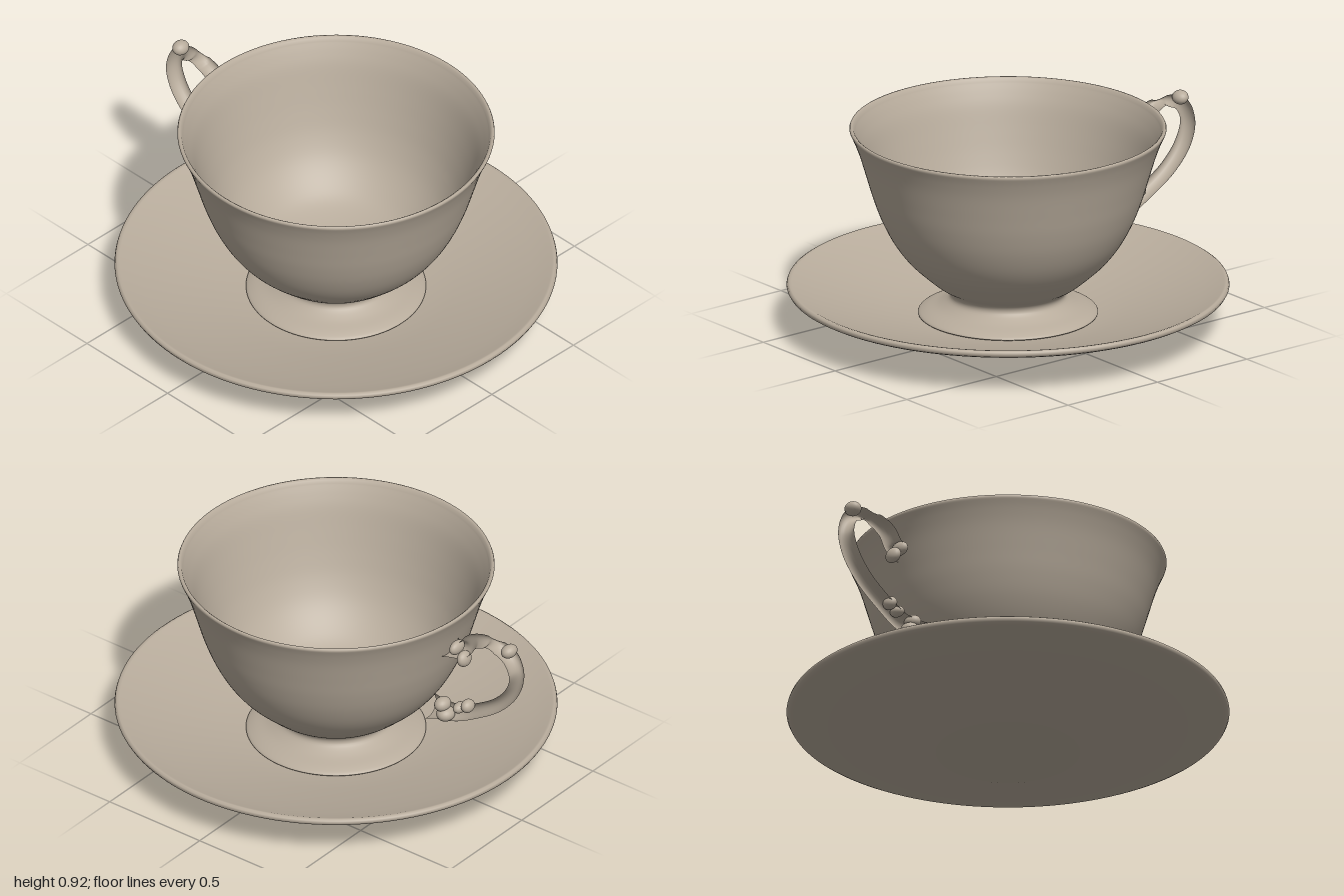
import * as THREE from 'three';

const porcelain = new THREE.MeshStandardMaterial({ color: 0xb8ac9c });
porcelain.name = 'warm porcelain';

const v2 = (pts) => pts.map(([x, y]) => new THREE.Vector2(x, y));
const smooth = (pts, n) => new THREE.SplineCurve(v2(pts)).getPoints(n);

function addMesh(parent, name, geometry) {
  const mesh = new THREE.Mesh(geometry, porcelain);
  mesh.name = name;
  parent.add(mesh);
  return mesh;
}

// Planar sweep in the yz plane; stations are [z, y, half thickness, half width in x].
function sweep(stations, steps = 120, sides = 20) {
  const path = new THREE.CatmullRomCurve3(stations.map(([z, y]) => new THREE.Vector3(0, y, z)));
  const size = new THREE.CatmullRomCurve3(stations.map(([, , t, w]) => new THREE.Vector3(w, t, 0)));
  const pos = [], index = [];
  for (let i = 0; i <= steps; i++) {
    const p = path.getPoint(i / steps), t = path.getTangent(i / steps), s = size.getPoint(i / steps);
    for (let j = 0; j < sides; j++) {
      const a = (j / sides) * Math.PI * 2;
      const n = Math.sin(a) * s.y;
      pos.push(Math.cos(a) * s.x, p.y - t.z * n, p.z + t.y * n);
      if (i < steps) {
        const k = (j + 1) % sides, b = i * sides, c = b + sides;
        index.push(b + j, b + k, c + j, b + k, c + k, c + j);
      }
    }
  }
  const g = new THREE.BufferGeometry();
  g.setAttribute('position', new THREE.Float32BufferAttribute(pos, 3));
  g.setIndex(index);
  g.computeVertexNormals();
  return g;
}

export function createModel() {
  const model = new THREE.Group();
  model.name = 'teacupAndSaucer';

  // Round parts share an axis slightly forward of centre, balancing the handle
  const round = new THREE.Group();
  round.name = 'roundParts';
  round.position.z = 0.033;
  model.add(round);

  // Saucer: flat base, shallow flare, rounded rim, dished top
  const saucer = v2([
    [0, 0], [0.312, 0], [0.32, 0.001], [0.33, 0.004], [0.52, 0.052], [0.72, 0.105], [0.87, 0.15],
    [0.945, 0.175], [0.96, 0.183], [0.966, 0.194], [0.963, 0.204], [0.954, 0.21], [0.943, 0.208],
    [0.925, 0.2], [0.85, 0.175], [0.7, 0.131], [0.52, 0.086], [0.4, 0.062], [0.3, 0.05], [0, 0.048],
  ]);
  addMesh(round, 'saucer', new THREE.LatheGeometry(saucer, 128));

  // Cup: flared foot, narrow neck, bowl outside, thin rim, bowl inside
  const outside = smooth([
    [0.33, 0.058], [0.385, 0.064], [0.39, 0.075], [0.36, 0.09], [0.3, 0.11], [0.255, 0.14], [0.26, 0.175],
    [0.315, 0.212], [0.37, 0.258], [0.44, 0.325], [0.5, 0.405], [0.55, 0.5], [0.588, 0.6],
    [0.618, 0.7], [0.648, 0.8], [0.672, 0.865], [0.69, 0.905],
  ], 80);
  const rim = v2([[0.692, 0.912], [0.689, 0.919], [0.682, 0.92], [0.674, 0.914]]);
  const inside = smooth([
    [0.668, 0.9], [0.648, 0.86], [0.623, 0.8], [0.592, 0.7], [0.56, 0.6], [0.522, 0.5],
    [0.47, 0.405], [0.4, 0.325], [0.32, 0.268], [0.2, 0.23], [0.1, 0.22], [0, 0.218],
  ], 50);
  addMesh(round, 'cup', new THREE.LatheGeometry([...v2([[0, 0.056]]), ...outside, ...rim, ...inside], 128));

  // Handle loop from upper root to lower root
  const handle = new THREE.Group();
  handle.name = 'handle';
  model.add(handle);
  addMesh(handle, 'handleLoop', sweep([
    [-0.588, 0.745, 0.05, 0.065], [-0.625, 0.742, 0.037, 0.052], [-0.675, 0.757, 0.036, 0.045],
    [-0.718, 0.812, 0.034, 0.042], [-0.79, 0.843, 0.027, 0.041], [-0.875, 0.845, 0.027, 0.041],
    [-0.94, 0.815, 0.031, 0.042], [-0.972, 0.735, 0.026, 0.042], [-0.945, 0.64, 0.03, 0.042],
    [-0.865, 0.545, 0.031, 0.041], [-0.75, 0.468, 0.032, 0.041], [-0.635, 0.412, 0.036, 0.044],
    [-0.545, 0.398, 0.045, 0.052], [-0.468, 0.385, 0.06, 0.068],
  ]));

  // Scroll knobs along the loop: name, z, y, radii in x, y, z, tilt
  [
    ['upperCurl', -0.68, 0.712, 0.04, 0.036, 0.026, 0.2],
    ['upperRootBead', -0.64, 0.755, 0.045, 0.032, 0.024, 0],
    ['thumbSpur', -0.93, 0.852, 0.041, 0.03, 0.034, 0.5],
    ['lowerInnerCurl', -0.7, 0.474, 0.036, 0.03, 0.027, 0.3],
    ['lowerInnerBead', -0.655, 0.448, 0.036, 0.024, 0.026, 0],
    ['lowerRootCurl', -0.56, 0.428, 0.042, 0.032, 0.034, 0],
    ['lowerOuterCurl', -0.577, 0.385, 0.044, 0.033, 0.04, 0],
  ].forEach(([name, z, y, rx, ry, rz, tilt]) => {
    const knob = addMesh(handle, name, new THREE.SphereGeometry(1, 24, 16));
    knob.position.set(0, y, z);
    knob.scale.set(rx, ry, rz);
    knob.rotation.x = tilt;
  });

  return model;
}
